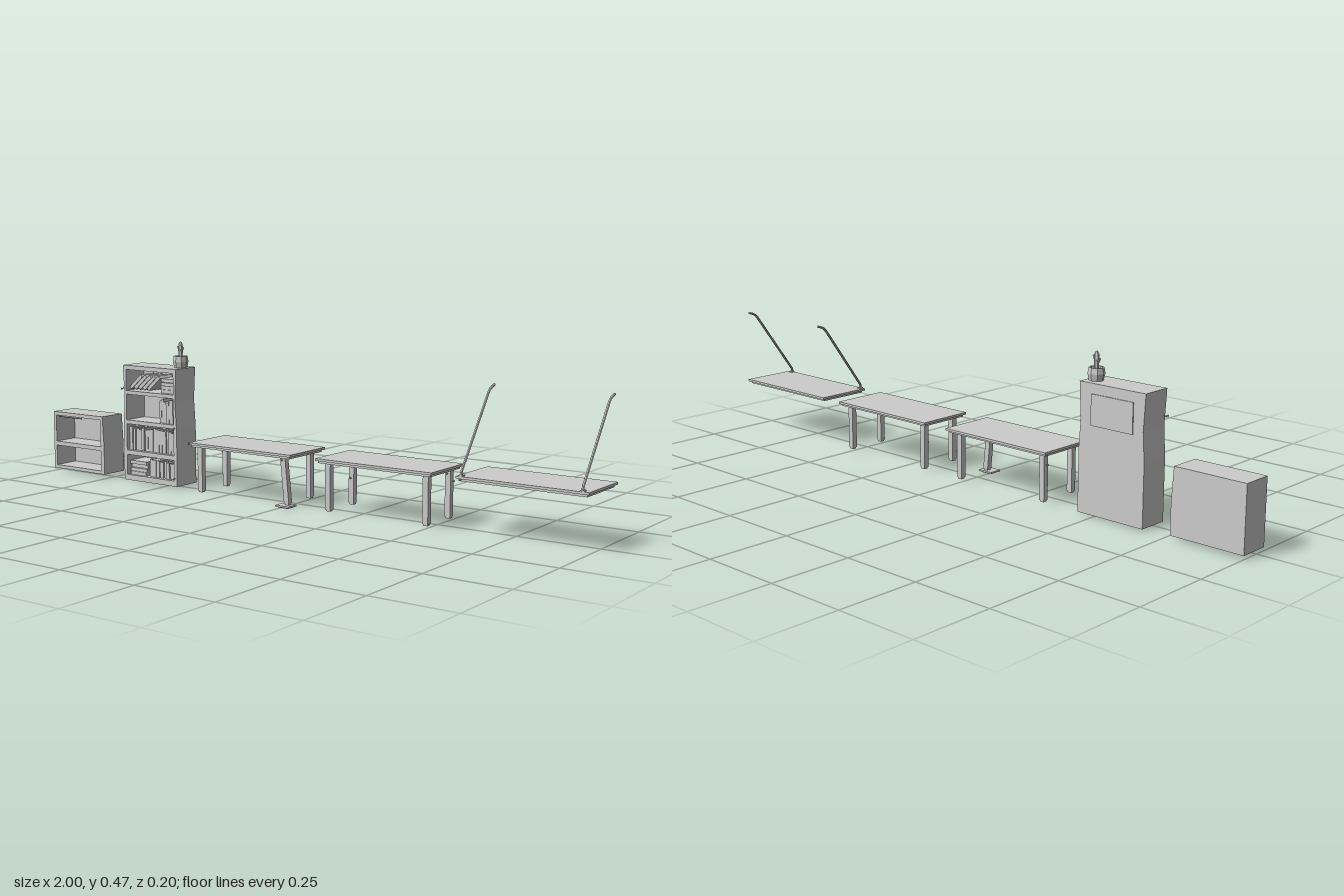
import * as THREE from 'three';

export function createModel() {
  const root = new THREE.Group();
  root.name = 'furnitureRow';
  const grey = new THREE.MeshStandardMaterial({ color: 0xcccccc, flatShading: true });
  grey.name = 'plain grey';

  let seed = 7;
  const rand = () => (seed = (seed * 16807) % 2147483647) / 2147483647;

  const group = (name, parent = root) => {
    const g = new THREE.Group();
    g.name = name;
    parent.add(g);
    return g;
  };
  const add = (parent, name, geo, x = 0, y = 0, z = 0, rz = 0) => {
    const m = new THREE.Mesh(geo, grey);
    m.name = name;
    m.position.set(x, y, z);
    m.rotation.z = rz;
    parent.add(m);
    return m;
  };
  // box given by its minimum and maximum corners
  const box = (parent, name, x0, x1, y0, y1, z0, z1) =>
    add(parent, name, new THREE.BoxGeometry(x1 - x0, y1 - y0, z1 - z0),
      (x0 + x1) / 2, (y0 + y1) / 2, (z0 + z1) / 2);
  // loose screw: short shank with a wider head
  const screw = (parent, x, y, z, axis) => {
    const g = group('screw', parent);
    add(g, 'screwShank', new THREE.CylinderGeometry(0.0014, 0.0014, 0.009, 6));
    add(g, 'screwHead', new THREE.CylinderGeometry(0.002, 0.0034, 0.003, 6), 0, 0.004, 0);
    g.position.set(x, y, z);
    if (axis === 'x') g.rotation.z = -Math.PI / 2;
    else if (axis === '-x') g.rotation.z = Math.PI / 2;
    else g.rotation.x = Math.PI / 2;
  };

  const zBack = -0.06, zFront = 0.035;

  // side panel whose outer edge follows a bent profile of [x, y] points
  const sidePanel = (parent, name, points) => {
    const geo = new THREE.ExtrudeGeometry(
      new THREE.Shape(points.map(p => new THREE.Vector2(p[0], p[1]))),
      { depth: zFront - zBack, bevelEnabled: false });
    add(parent, name, geo, 0, 0, zBack);
  };

  // small bookcase
  const small = group('smallBookcase');
  sidePanel(small, 'rightSide', [[-1, 0.01], [-0.988, 0.01], [-0.988, 0.205], [-1, 0.205]]);
  sidePanel(small, 'leftSide', [[-0.782, 0.01], [-0.767, 0.01], [-0.767, 0.105], [-0.773, 0.205], [-0.782, 0.205]]);
  box(small, 'backPanel', -0.988, -0.782, 0.01, 0.205, zBack, -0.052);
  for (const [y0, y1] of [[0.01, 0.021], [0.089, 0.103], [0.193, 0.205]])
    box(small, 'shelf', -0.988, -0.782, y0, y1, -0.052, zFront);
  // splintered strip hanging below the top board
  add(small, 'splinter', new THREE.CylinderGeometry(0.004, 0.004, 0.1, 3).rotateZ(Math.PI / 2), -0.925, 0.19, 0.029);

  // tall bookcase, pinched slightly below the top shelf
  const tall = group('tallBookcase');
  sidePanel(tall, 'rightSide',
    [[-0.675, 0.005], [-0.662, 0.005], [-0.662, 0.385], [-0.675, 0.385], [-0.669, 0.28], [-0.675, 0.19]]);
  sidePanel(tall, 'leftSide',
    [[-0.46, 0.005], [-0.447, 0.005], [-0.447, 0.19], [-0.453, 0.28], [-0.447, 0.385], [-0.46, 0.385]]);
  box(tall, 'backPanel', -0.662, -0.46, 0.005, 0.385, zBack, -0.052);
  for (const [y0, y1] of [[0.005, 0.023], [0.09, 0.105], [0.192, 0.205], [0.29, 0.302], [0.371, 0.385]])
    box(tall, 'shelf', -0.662, -0.46, y0, y1, -0.052, zFront);
  box(tall, 'backPatch', -0.635, -0.49, 0.265, 0.355, -0.063, zBack);

  // books
  const books = group('books', tall);
  const standing = (x0, x1, y, h) => {
    for (let x = x0; x < x1 - 0.008;) {
      const w = 0.009 + rand() * 0.008;
      const end = Math.min(x + w, x1);
      box(books, 'standingBook', x, end - 0.001, y, y + h * (0.85 + rand() * 0.15), -0.045, 0.015 + rand() * 0.01);
      x = end;
    }
  };
  const stack = (x0, x1, y, n, t) => {
    for (let i = 0; i < n; i++)
      box(books, 'lyingBook', x0 + rand() * 0.006, x1 - rand() * 0.006, y + i * t, y + (i + 1) * t - 0.001,
        -0.045, 0.016 + rand() * 0.01);
  };
  standing(-0.578, -0.462, 0.023, 0.058);
  stack(-0.66, -0.585, 0.023, 4, 0.012);
  standing(-0.66, -0.462, 0.105, 0.08);
  standing(-0.534, -0.462, 0.205, 0.078);
  stack(-0.526, -0.464, 0.302, 4, 0.012);
  for (let i = 0; i < 5; i++)
    add(books, 'leaningBook', new THREE.BoxGeometry(0.011, 0.065, 0.064), -0.632 + i * 0.019, 0.331, -0.012, -0.85);

  // screws working loose from the tall bookcase
  screw(tall, -0.677, 0.307, 0.037, 'z');
  screw(tall, -0.68, 0.31, 0.022, '-x');
  screw(tall, -0.455, 0.195, 0.034, 'z');
  screw(tall, -0.455, 0.031, 0.038, 'z');

  // potted plant
  const plant = group('pottedPlant');
  plant.position.set(-0.475, 0.385, -0.022);
  const potProfile = [[0, 0], [0.021, 0], [0.025, 0.02], [0.022, 0.037], [0.018, 0.037], [0.017, 0.03], [0, 0.03]];
  add(plant, 'pot', new THREE.LatheGeometry(potProfile.map(p => new THREE.Vector2(p[0], p[1])), 8));
  const stemProfile = [[0, 0], [0.006, 0], [0.008, 0.03], [0.007, 0.044], [0.003, 0.052], [0, 0.053]];
  add(plant, 'stem', new THREE.LatheGeometry(stemProfile.map(p => new THREE.Vector2(p[0], p[1])), 6), 0, 0.03, 0);
  for (const s of [-1, 1]) {
    const path = new THREE.CatmullRomCurve3([
      new THREE.Vector3(0, 0.055, 0), new THREE.Vector3(s * 0.013, 0.058, s * 0.007),
      new THREE.Vector3(s * 0.019, 0.064, s * 0.011)]);
    add(plant, 'branch', new THREE.TubeGeometry(path, 4, 0.0035, 5));
    add(plant, 'branchTip', new THREE.IcosahedronGeometry(0.004, 0), s * 0.019, 0.064, s * 0.011);
  }

  // table top with a shallow rim underneath
  const tableTop = (parent, x0, x1) => {
    box(parent, 'tableTop', x0, x1, 0.159, 0.166, -0.095, 0.088);
    const a = x0 + 0.007, b = x1 - 0.007, w = 0.008;
    for (const [p, q] of [[a, a + w], [b - w, b]]) box(parent, 'endRim', p, q, 0.152, 0.159, -0.086, 0.082);
    for (const [p, q] of [[-0.086, -0.078], [0.074, 0.082]]) box(parent, 'longRim', a + w, b - w, 0.152, 0.159, p, q);
  };
  // square leg with a small cap; shift leans its foot sideways
  const leg = (parent, x, z, shift = 0) => {
    const geo = new THREE.BoxGeometry(0.018, 0.146, 0.017);
    const pos = geo.attributes.position;
    for (let i = 0; i < pos.count; i++) if (pos.getY(i) < 0) pos.setX(i, pos.getX(i) + shift);
    geo.computeVertexNormals();
    add(parent, 'leg', geo, x, 0.086, z);
    box(parent, 'legCap', x + shift - 0.007, x + shift + 0.007, 0.008, 0.013, z - 0.0065, z + 0.0065);
  };

  const tableA = group('firstTable');
  tableTop(tableA, -0.353, 0.042);
  for (const [x, z] of [[-0.322, 0.061], [-0.322, -0.063], [0.007, -0.063]]) leg(tableA, x, z);
  leg(tableA, 0.0, 0.061, 0.015);
  box(tableA, 'footPlate', -0.015, 0.035, 0.003, 0.008, 0.045, 0.086);
  box(tableA, 'footPad', -0.008, 0.028, 0, 0.003, 0.05, 0.08);
  screw(tableA, -0.335, 0.12, -0.063, '-x');
  screw(tableA, 0.0, 0.145, 0.071, 'z');
  screw(tableA, -0.347, 0.163, 0.091, 'z');

  const tableB = group('secondTable');
  tableTop(tableB, 0.133, 0.528);
  for (const x of [0.166, 0.499]) for (const z of [0.061, -0.063]) leg(tableB, x, z);
  screw(tableB, 0.51, 0.118, -0.065, 'x');
  screw(tableB, 0.499, 0.14, -0.051, 'z');
  screw(tableB, 0.166, 0.09, -0.051, 'z');

  // hanging table with two bent rods
  const hanging = group('hangingTable');
  tableTop(hanging, 0.605, 1.0);
  const rodPath = new THREE.CurvePath();
  const pts = [[0.166, 0.083], [0.178, 0.082], [0.383, -0.064], [0.392, -0.073], [0.397, -0.083], [0.401, -0.097]];
  for (const x of [0.62, 0.98]) {
    const path = new THREE.CurvePath();
    for (let i = 1; i < pts.length; i++)
      path.add(new THREE.LineCurve3(
        new THREE.Vector3(x, pts[i - 1][0], pts[i - 1][1]), new THREE.Vector3(x, pts[i][0], pts[i][1])));
    add(hanging, 'rod', new THREE.TubeGeometry(path, 40, 0.004, 6));
    add(hanging, 'rodEnd', new THREE.CylinderGeometry(0.004, 0.004, 0.003, 6).rotateX(-1.25), x, 0.401, -0.096);
    box(hanging, 'rodClamp', x - 0.006, x + 0.006, 0.165, 0.17, 0.073, 0.087);
  }
  screw(hanging, 0.62, 0.157, 0.086, 'z');

  return root;
}
